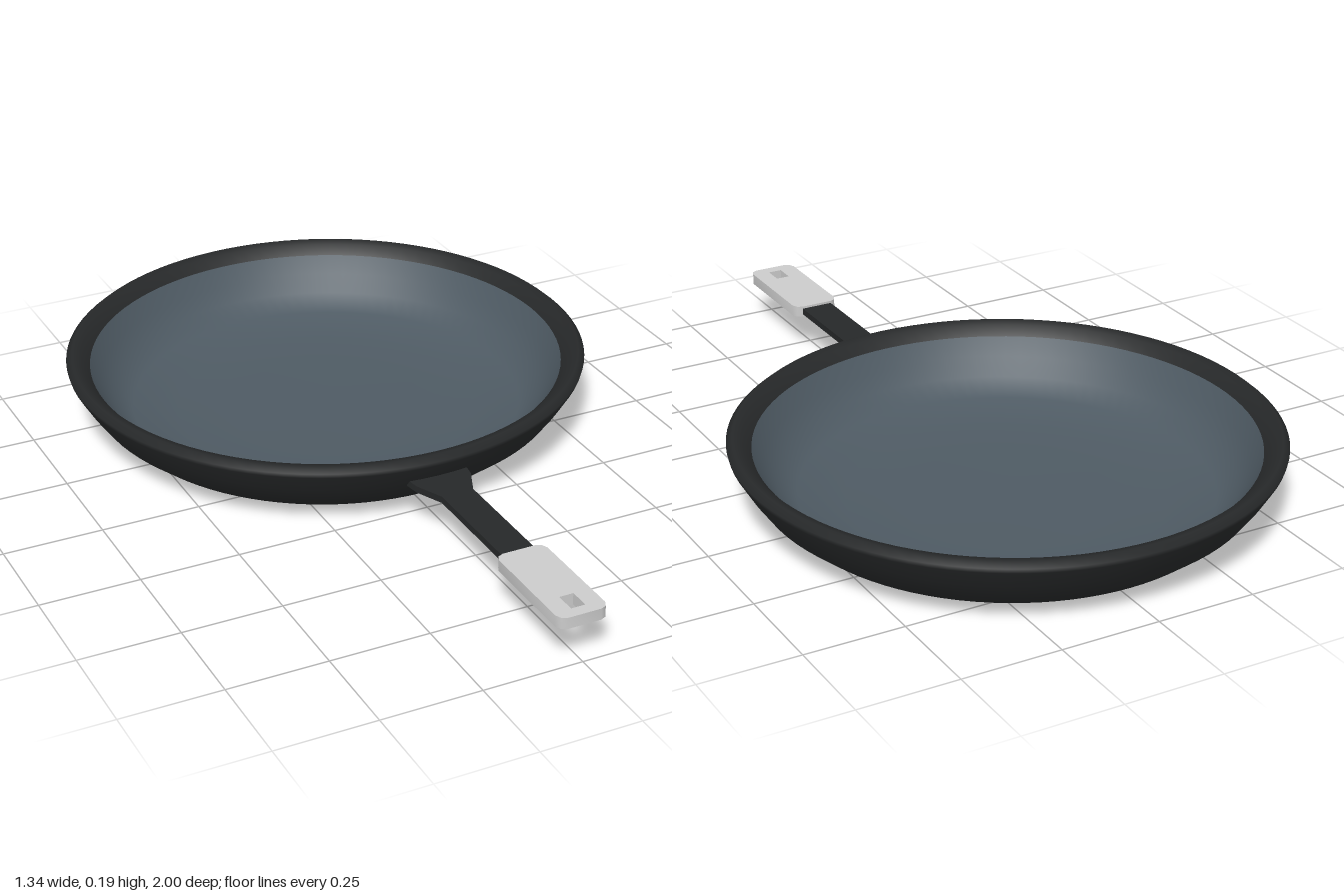
import * as THREE from 'three';
import { toCreasedNormals } from 'three/addons/utils/BufferGeometryUtils.js';

const material = (color) => new THREE.MeshStandardMaterial({ color });
const points = (list) => list.map(([x, y]) => new THREE.Vector2(x, y));

// Flat plate: outline given in x and z, extruded downwards from the top height
function plate(name, outline, top, thickness, mat, hole) {
  const shape = new THREE.Shape(points(outline));
  if (hole) shape.holes.push(new THREE.Path(points(hole)));
  const geometry = new THREE.ExtrudeGeometry(shape, { depth: thickness, bevelEnabled: false });
  geometry.rotateX(Math.PI / 2);
  const mesh = new THREE.Mesh(toCreasedNormals(geometry, 0.95), mat);
  mesh.name = name;
  mesh.position.y = top;
  return mesh;
}

// Outline symmetric about x = 0, from half-widths along z
const mirrored = (half) => [...half, ...half.map(([x, z]) => [-x, z]).reverse()];

export function createModel() {
  const model = new THREE.Group();
  model.name = 'fryingPan';
  const iron = material(0x262829);

  const turned = (name, profile, mat) => {
    const mesh = new THREE.Mesh(new THREE.LatheGeometry(points(profile), 96), mat);
    mesh.name = name;
    mesh.position.z = -0.33;
    model.add(mesh);
  };

  // Outer body with its rounded rim
  turned('panBody', [
    [0, 0], [0.28, 0.002], [0.42, 0.008], [0.55, 0.025], [0.605, 0.07],
    [0.637, 0.115], [0.667, 0.165], [0.67, 0.177], [0.655, 0.19], [0.632, 0.184], [0.61, 0.16],
  ], iron);

  // Coated cooking surface, a shallow dish nearly touching the base
  turned('cookingSurface', [
    [0.61, 0.16], [0.585, 0.113], [0.553, 0.07], [0.505, 0.032], [0.39, 0.012], [0.26, 0.005], [0, 0.003],
  ], material(0x4e5a63));

  // Handle bar flaring into the pan wall
  model.add(plate('handleBar', mirrored([
    [0.08, 0.29], [0.073, 0.335], [0.042, 0.405], [0.042, 0.72],
  ]), 0.121, 0.017, iron));

  // Grip with softened corners and a hanging slot
  model.add(plate('grip', mirrored([
    [0.042, 0.703], [0.056, 0.709], [0.063, 0.724], [0.063, 0.979], [0.056, 0.994], [0.042, 1],
  ]), 0.127, 0.029, material(0xcccccc), [
    [-0.018, 0.918], [-0.018, 0.97], [0.018, 0.97], [0.018, 0.918],
  ]));

  return model;
}
